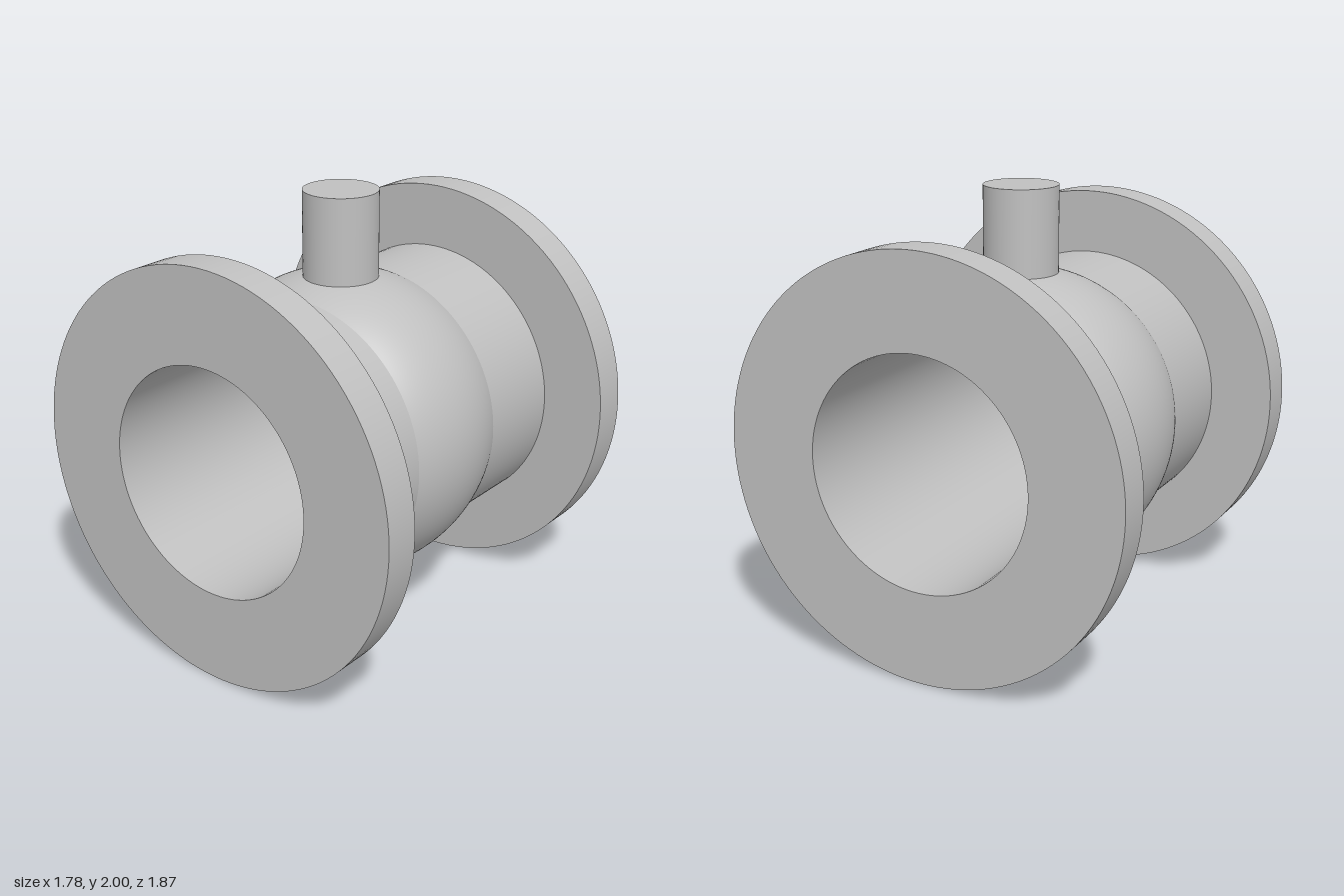
import * as THREE from 'three';

const AXIS_Y = 0.933;    // height of the pipe axis
const FLANGE_R = 0.933, PIPE_R = 0.64, BALL_R = 0.70, BORE_R = 0.515;
const END_X = 0.89, FLANGE_X = 0.723;
const BALL_X = Math.sqrt(BALL_R ** 2 - PIPE_R ** 2);
const STEM_R = 0.167, STEM_BOTTOM = 1.57, STEM_TOP = 2;

export function createModel() {
  const model = new THREE.Group();
  model.name = 'ballValve';
  const metal = new THREE.MeshStandardMaterial({ color: 0xc0c0c0 });
  metal.name = 'greyMetal';

  // Surface of revolution about x; points are [x, radius]
  const turn = (name, points, parent) => {
    const profile = points.map(([x, r]) => new THREE.Vector2(r, x));
    const geometry = new THREE.LatheGeometry(profile, 128);
    geometry.rotateZ(-Math.PI / 2);
    const mesh = new THREE.Mesh(geometry, metal);
    mesh.name = name;
    parent.add(mesh);
  };

  const body = new THREE.Group();
  body.name = 'body';
  body.position.y = AXIS_Y;
  model.add(body);

  // Spherical housing in the middle
  const arc = [];
  const half = Math.asin(BALL_X / BALL_R);
  for (let i = 0; i <= 24; i++) {
    const a = -half + (2 * half * i) / 24;
    arc.push([BALL_R * Math.sin(a), BALL_R * Math.cos(a)]);
  }
  turn('ballHousing', arc, body);

  // Straight bore through the whole body
  turn('bore', [[END_X, BORE_R], [-END_X, BORE_R]], body);

  // Pipe and flange on each end, each face separate for crisp edges
  for (const side of [1, -1]) {
    const end = new THREE.Group();
    end.name = side > 0 ? 'leftEnd' : 'rightEnd';
    if (side < 0) end.rotation.y = Math.PI;
    turn('pipe', [[BALL_X, PIPE_R], [FLANGE_X, PIPE_R]], end);
    turn('flangeBack', [[FLANGE_X, PIPE_R], [FLANGE_X, FLANGE_R]], end);
    turn('flangeRim', [[FLANGE_X, FLANGE_R], [END_X, FLANGE_R]], end);
    turn('flangeFace', [[END_X, FLANGE_R], [END_X, BORE_R]], end);
    body.add(end);
  }

  // Stem rising from the housing
  const stem = new THREE.Mesh(
    new THREE.CylinderGeometry(STEM_R, STEM_R, STEM_TOP - STEM_BOTTOM, 64), metal);
  stem.name = 'stem';
  stem.position.y = (STEM_TOP + STEM_BOTTOM) / 2;
  model.add(stem);

  return model;
}
